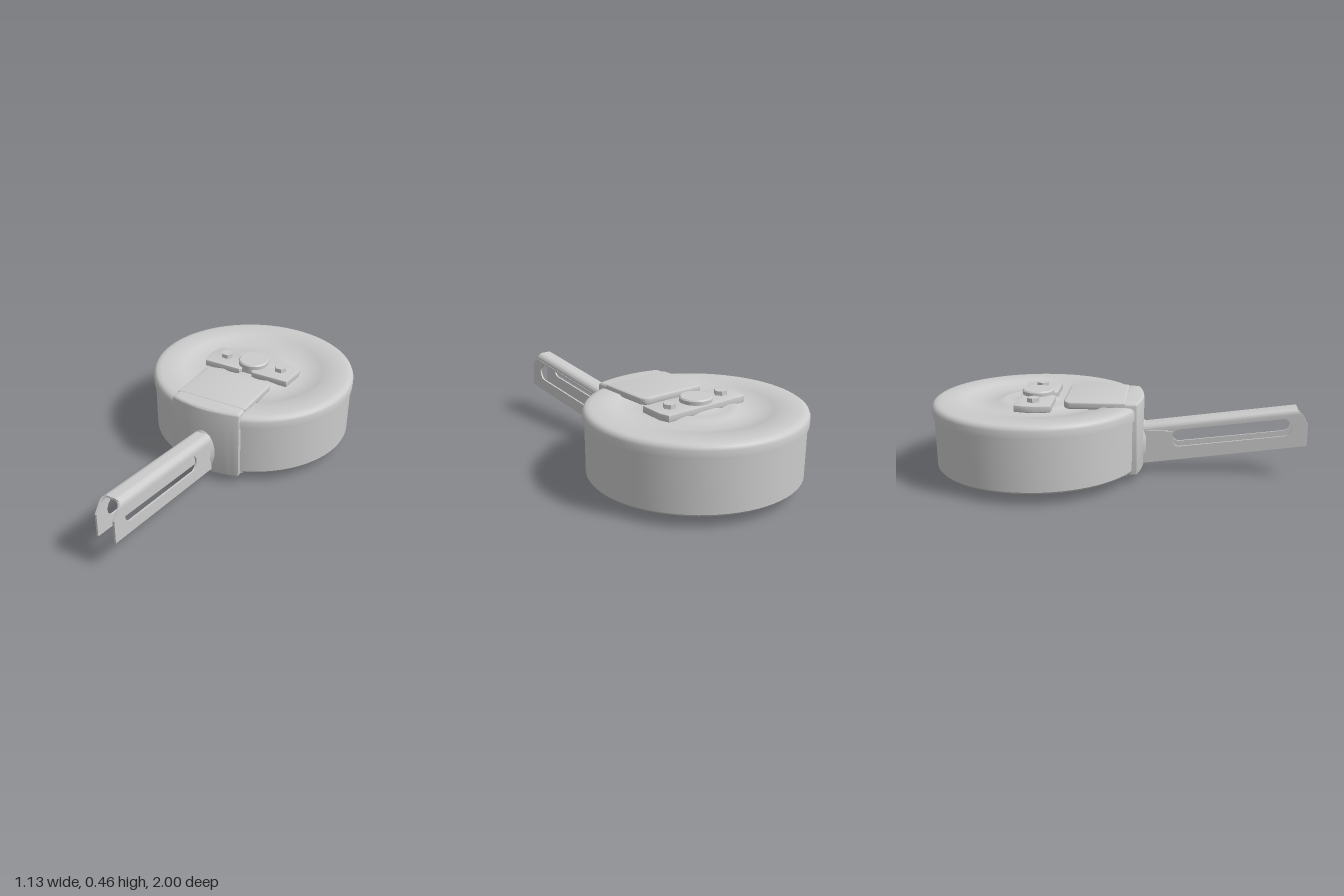
import * as THREE from 'three';
import { toCreasedNormals } from 'three/addons/utils/BufferGeometryUtils.js';

const material = new THREE.MeshStandardMaterial({ color: 0xcccccc, side: THREE.DoubleSide });
const DRUM_Z = -0.44;

export function createModel() {
  const model = new THREE.Group();

  const add = (name, geometry, x = 0, y = 0, z = 0, crease = 0.6) => {
    const mesh = new THREE.Mesh(toCreasedNormals(geometry, crease), material);
    mesh.name = name;
    mesh.position.set(x, y, z);
    model.add(mesh);
    return mesh;
  };
  const lathe = (name, points, segments = 72) =>
    add(name, new THREE.LatheGeometry(points.map(p => new THREE.Vector2(...p)), segments), 0, 0, DRUM_Z);

  // Plan outline given as [x, z], extruded upward from y0 to y1
  const plate = (name, shape, y0, y1, bevel = 0.005) => {
    const geo = new THREE.ExtrudeGeometry(shape, {
      depth: y1 - y0 - 2 * bevel, bevelEnabled: bevel > 0, bevelSize: bevel,
      bevelThickness: bevel, bevelOffset: -bevel, bevelSegments: 3, curveSegments: 16,
    });
    geo.rotateX(-Math.PI / 2);
    return add(name, geo, 0, y0 + bevel, 0);
  };
  const plan = points => new THREE.Shape(points.map(([x, z]) => new THREE.Vector2(x, -z)));

  // Drum with a ringed underside
  lathe('drumBody', [
    [0, 0.05], [0.1, 0.05], [0.13, 0.06], [0.17, 0.065], [0.2, 0.08], [0.27, 0.09], [0.34, 0.085],
    [0.4, 0.065], [0.42, 0.056], [0.525, 0.056], [0.545, 0.06], [0.553, 0.07], [0.556, 0.35],
  ]);
  lathe('lowerHub', [[0, 0.032], [0.055, 0.032], [0.06, 0.045], [0.085, 0.047], [0.095, 0.06]], 32);

  // Lid with a rolled rim and stepped rings
  lathe('lid', [
    [0.553, 0.34], [0.565, 0.343], [0.566, 0.385], [0.56, 0.4], [0.547, 0.409], [0.525, 0.412],
    [0.41, 0.412], [0.395, 0.403], [0.31, 0.392], [0.24, 0.39], [0.215, 0.398], [0.17, 0.405],
    [0.13, 0.395], [0.1, 0.405], [0, 0.405],
  ]);

  // Crossbar, bolts and centre button
  plate('crossbar', plan([
    [-0.25, -0.53], [0.25, -0.53], [0.265, -0.48], [0.255, -0.34], [0.04, -0.34], [0.03, -0.36],
    [-0.03, -0.36], [-0.04, -0.34], [-0.255, -0.34], [-0.27, -0.42], [-0.265, -0.48],
  ]), 0.395, 0.431, 0.004);
  for (const side of [-1, 1]) {
    add('crossbarBolt', new THREE.CylinderGeometry(0.033, 0.035, 0.03, 6).rotateY(Math.PI / 6),
      side * 0.17, 0.438, DRUM_Z);
  }
  lathe('centreButton', [[0.083, 0.42], [0.084, 0.45], [0.077, 0.457], [0, 0.457]], 32);

  // Bracket: curved front block with flaps above and below the drum
  const block = new THREE.Shape();
  block.moveTo(0.2, 0.02);
  block.lineTo(0.2, -0.1);
  block.quadraticCurveTo(0, -0.162, -0.2, -0.1);
  block.lineTo(-0.2, 0.02);
  plate('bracketFront', block, 0.04, 0.434, 0.014);
  plate('bracketTopFlap', plan([
    [-0.2, 0.04], [0.2, 0.04], [0.2, -0.25], [0.185, -0.272], [0.16, -0.282],
    [-0.16, -0.282], [-0.185, -0.272], [-0.2, -0.25],
  ]), 0.4, 0.438, 0.008);
  plate('bracketBottomFlap', plan([
    [-0.2, 0.05], [0.2, 0.05], [0.2, -0.26], [0.18, -0.28], [-0.18, -0.28], [-0.2, -0.26],
  ]), 0.038, 0.056, 0.003);

  // Catch beneath the bracket: a round pin and a sloping leaf
  add('catchPin', new THREE.CylinderGeometry(0.04, 0.036, 0.045, 24), 0, 0.0225, -0.005);
  const leaf = new THREE.BoxGeometry(0.075, 0.012, 0.24, 1, 1, 10);
  const lp = leaf.attributes.position;
  for (let i = 0; i < lp.count; i++) {
    const t = 0.5 - lp.getZ(i) / 0.24;
    const top = lp.getY(i) > 0;
    lp.setX(i, lp.getX(i) * (0.7 + 0.9 * Math.sin(Math.PI * t)));
    lp.setY(i, top ? 0.04 : 0.03 - 0.022 * Math.min(1, t * 1.4));
  }
  add('catchLeaf', leaf, 0, 0, -0.155);

  // Handle: two slotted cheeks
  const cheek = new THREE.Shape([
    [0.1, 0.062], [0.998, 0.18], [0.998, 0.305], [0.96, 0.352], [0.1, 0.24],
  ].map(p => new THREE.Vector2(...p)));
  const slot = new THREE.Path();
  slot.moveTo(0.878, 0.328);
  slot.lineTo(0.327, 0.259);
  slot.bezierCurveTo(0.265, 0.25, 0.27, 0.165, 0.32, 0.163);
  slot.lineTo(0.878, 0.232);
  slot.quadraticCurveTo(0.91, 0.24, 0.916, 0.28);
  slot.quadraticCurveTo(0.912, 0.31, 0.878, 0.328);
  cheek.holes.push(slot);
  const cheekGeo = new THREE.ExtrudeGeometry(cheek, { depth: 0.01, bevelEnabled: false, curveSegments: 10 });
  cheekGeo.rotateY(-Math.PI / 2);
  add('handleCheekLeft', cheekGeo, 0.055);
  add('handleCheekRight', cheekGeo, -0.045);

  // Rounded spine joining the cheeks, sheared to the handle slope
  const spine = new THREE.Shape();
  spine.moveTo(0.055, -0.045);
  spine.absarc(0.02, -0.035, 0.035, 0, Math.PI / 2);
  spine.absarc(-0.02, -0.035, 0.035, Math.PI / 2, Math.PI);
  spine.lineTo(-0.055, -0.045);
  spine.lineTo(-0.045, -0.045);
  spine.absarc(-0.02, -0.035, 0.025, Math.PI, Math.PI / 2, true);
  spine.absarc(0.02, -0.035, 0.025, Math.PI / 2, 0, true);
  spine.lineTo(0.045, -0.045);
  const spineGeo = new THREE.ExtrudeGeometry(spine, { depth: 0.84, bevelEnabled: false, curveSegments: 8 });
  const sp = spineGeo.attributes.position;
  for (let i = 0; i < sp.count; i++) {
    const z = sp.getZ(i) + 0.1;
    // the far end is cut back along its top
    const end = z > 0.9 ? -Math.min(0, sp.getY(i) + 0.01) * 0.7 : 0;
    sp.setXYZ(i, sp.getX(i), sp.getY(i) + 0.265 + 0.13 * (z + end), z + end);
  }
  add('handleSpine', spineGeo);

  // Flare where the handle meets the bracket
  const flare = new THREE.CylinderGeometry(0.058, 0.085, 0.035, 32, 1, true).rotateX(Math.PI / 2);
  flare.scale(1, 1.75, 1);
  add('handleCollar', flare, 0, 0.175, 0.128);

  // Small side stop on the handle
  add('handleStop', new THREE.BoxGeometry(0.012, 0.05, 0.13), -0.059, 0.225, 0.22);

  return model;
}
